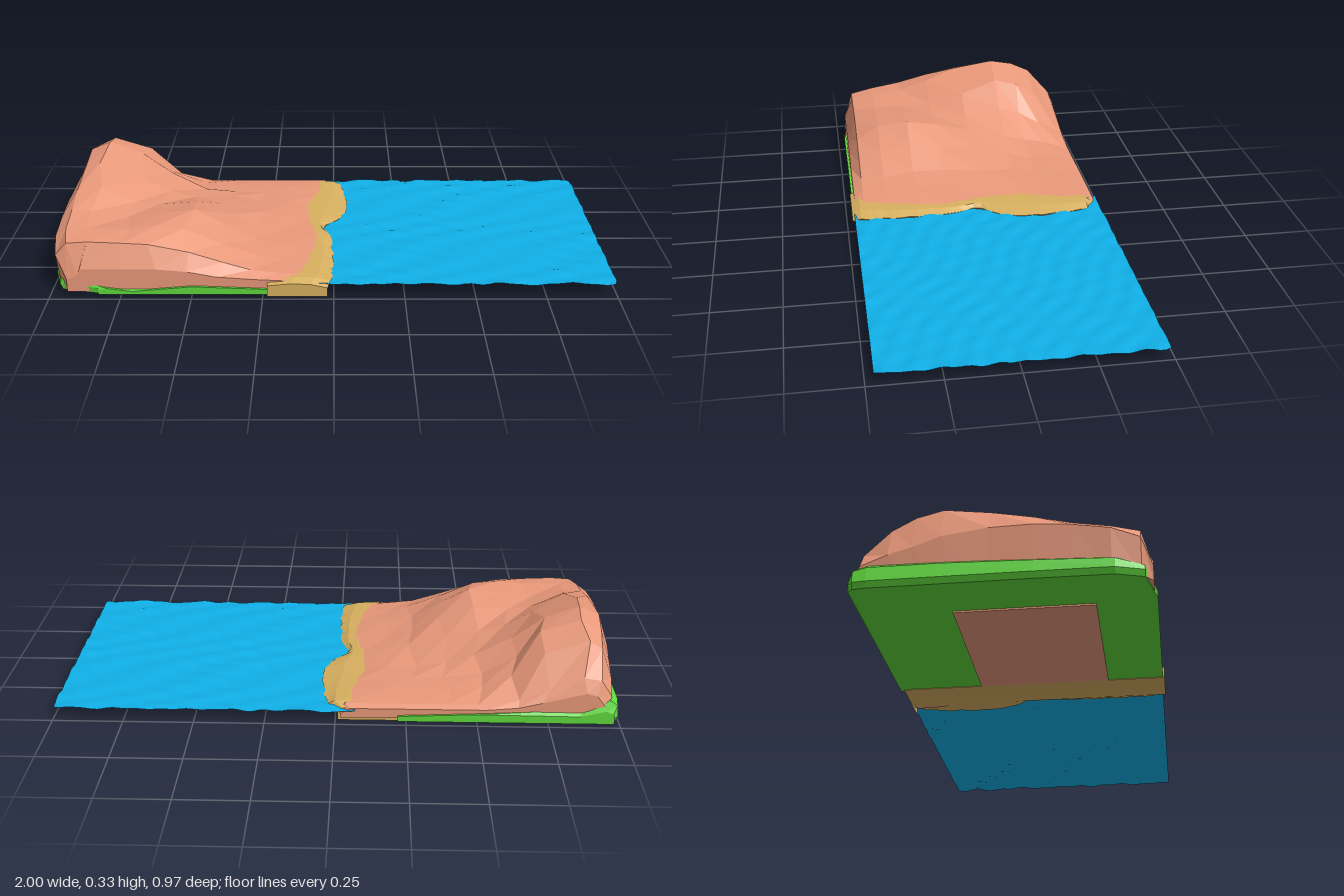
import * as THREE from 'three';

const mat = (color, extra = {}) => new THREE.MeshStandardMaterial({ color, flatShading: true, ...extra });

// Skin closed rings of [x, y, z] into a solid; the end rings are folded down to their base.
function loft(name, rings, color) {
  const fold = (r) => { const y = Math.min(...r.map((p) => p[1])); return r.map((p) => [p[0], y, p[2]]); };
  const rows = [fold(rings[0]), ...rings, fold(rings[rings.length - 1])];
  const n = rings[0].length, index = [];
  for (let i = 0; i < rows.length - 1; i++) for (let j = 0; j < n; j++) {
    const a = i * n + j, c = i * n + (j + 1) % n, b = a + n, d = c + n;
    index.push(a, b, c, c, b, d);
  }
  const geo = new THREE.BufferGeometry();
  geo.setAttribute('position', new THREE.Float32BufferAttribute(rows.flat(2), 3));
  geo.setIndex(index);
  geo.computeVertexNormals();
  const mesh = new THREE.Mesh(geo, mat(color));
  mesh.name = name;
  return mesh;
}

// Piecewise linear lookup through [key, value] pairs
function along(pairs, t) {
  for (let i = 1; i < pairs.length; i++) {
    const [a, u] = pairs[i - 1], [b, v] = pairs[i];
    if (t <= b) return u + (v - u) * Math.max(0, (t - a) / (b - a));
  }
  return pairs[pairs.length - 1][1];
}

// Shoreline, and the line where the hill meets the sand, as x over z
const SHORE = [[-0.47, 0], [-0.43, 0.03], [-0.35, 0.045], [-0.2, 0.055], [-0.1, 0.035], [-0.03, -0.025],
  [0.02, -0.045], [0.06, -0.01], [0.3, 0], [0.48, -0.01]];
const SAND_LINE = [[-0.47, -0.05], [-0.43, -0.02], [-0.3, -0.06], [-0.2, -0.1], [-0.05, -0.1],
  [0.01, -0.06], [0.1, -0.06], [0.25, -0.07], [0.4, -0.1], [0.47, -0.14]];

// Hill: each section is z, left edge x, then heights over the columns
const COLUMNS = [-0.88, -0.74, -0.64, -0.52, -0.4, -0.28, -0.19];
const HILL = [
  [-0.472, -0.955, 0.06, 0.11, 0.12, 0.08, 0.06, 0.05, 0.05, 0.05, 0.05],
  [-0.45, -0.97, 0.1, 0.16, 0.17, 0.12, 0.08, 0.06, 0.06, 0.06, 0.06],
  [-0.36, -0.98, 0.13, 0.24, 0.27, 0.22, 0.13, 0.085, 0.075, 0.07, 0.07],
  [-0.28, -0.985, 0.15, 0.28, 0.315, 0.27, 0.17, 0.1, 0.08, 0.075, 0.072],
  [-0.19, -0.99, 0.18, 0.3, 0.33, 0.285, 0.2, 0.13, 0.1, 0.08, 0.075],
  [-0.04, -0.99, 0.2, 0.28, 0.3, 0.24, 0.185, 0.16, 0.13, 0.095, 0.08],
  [0.1, -0.995, 0.2, 0.25, 0.258, 0.2, 0.19, 0.2, 0.15, 0.1, 0.08],
  [0.22, -0.995, 0.19, 0.22, 0.215, 0.19, 0.208, 0.222, 0.17, 0.1, 0.08],
  [0.34, -0.995, 0.17, 0.2, 0.2, 0.2, 0.21, 0.2, 0.14, 0.09, 0.075],
  [0.43, -0.98, 0.14, 0.185, 0.19, 0.185, 0.18, 0.15, 0.11, 0.08, 0.07],
  [0.465, -0.94, 0.06, 0.08, 0.1, 0.1, 0.1, 0.09, 0.07, 0.06, 0.055],
];

function makeHill() {
  const rings = HILL.map(([z, left, ...h], i) => {
    const edge = along(SAND_LINE, z), end = Math.min(0.062, h[8]);
    const xs = [left, left + 0.04, ...COLUMNS.map((x, j) => x + 0.015 * Math.sin(i * 2.3 + j * 1.7))];
    return [[left + 0.015, 0.014, z], ...xs.map((x, j) => [x, h[j], z]),
      [edge, end, z], [edge + 0.03, 0.03, z], [edge, 0.014, z]];
  });
  return loft('hill', rings, 0xe8987a);
}

// Sand: a wedge whose underside rises towards the water
function makeBeach() {
  const rings = [];
  for (let i = 0; i <= 30; i++) {
    const z = -0.465 + 0.945 * i / 30;
    const end = i === 0 || i === 30 ? 0.012 : 0;
    const shore = along(SHORE, z) + 0.004 * Math.sin(i * 2.1) - end, line = along(SAND_LINE, z);
    rings.push([[-0.235, 0.003, z], [-0.235, 0.055 - end, z], [line - 0.01, 0.063 - end, z],
      [(line + shore) / 2, 0.06 - end, z], [shore, 0.047 - end, z], [shore - 0.01, 0.03, z],
      [-0.065, 0.012, z], [-0.12, 0.001, z]]);
  }
  return loft('beach', rings, 0xd7af5f);
}

// Grass: a thin base, higher along the outer end and the back corner
function makeGrass() {
  const sections = [[-0.48, 0.02, 0.055], [-0.465, 0.005, 0.09], [-0.42, 0, 0.1], [-0.2, 0, 0.1],
    [0.1, 0, 0.09], [0.35, 0.002, 0.08], [0.44, 0.03, 0.06], [0.474, 0.17, 0.03]];
  const rings = sections.map(([z, inset, top]) => {
    const l = -1 + inset;
    return [[l + 0.01, 0.01, z], [l, 0.03, z], [l + 0.005, top * 0.8, z], [l + 0.03, top, z],
      [l + 0.12, top * 0.6, z], [-0.5, 0.036, z], [-0.22, 0.025, z], [-0.22, 0.005, z]];
  });
  return loft('grassBase', rings, 0x5fd83c);
}

// Water: a thin rippled sheet with small rounded outer corners
function makeWater() {
  const geo = new THREE.PlaneGeometry(1.07, 0.957, 54, 46).rotateX(-Math.PI / 2).translate(0.465, 0.045, -0.007);
  const p = geo.attributes.position;
  for (let i = 0; i < p.count; i++) {
    const x = p.getX(i), z = p.getZ(i);
    const ripple = Math.sin(38 * x - 62 * z + 2 * Math.sin(9 * x + 5 * z))
      + 0.7 * Math.sin(23 * x + 41 * z + 1.5 * Math.sin(14 * z)) + 0.5 * Math.sin(71 * x - 30 * z);
    p.setY(i, 0.045 + 0.0028 * ripple);
    if (x > 0.99 && Math.abs(z + 0.007) > 0.47) p.setX(i, 0.993);
  }
  geo.computeVertexNormals();
  const mesh = new THREE.Mesh(geo, mat(0x10b0e8, { flatShading: false, side: THREE.DoubleSide }));
  mesh.name = 'water';
  return mesh;
}

export function createModel() {
  const model = new THREE.Group();
  model.name = 'coast';
  model.add(makeHill(), makeBeach(), makeGrass(), makeWater());

  // Bare earth showing through the underside
  const earth = new THREE.Mesh(new THREE.BoxGeometry(0.58, 0.01, 0.46), mat(0xe8987a));
  earth.name = 'earthUnderside';
  earth.position.set(-0.52, 0.008, 0.05);
  model.add(earth);
  return model;
}
